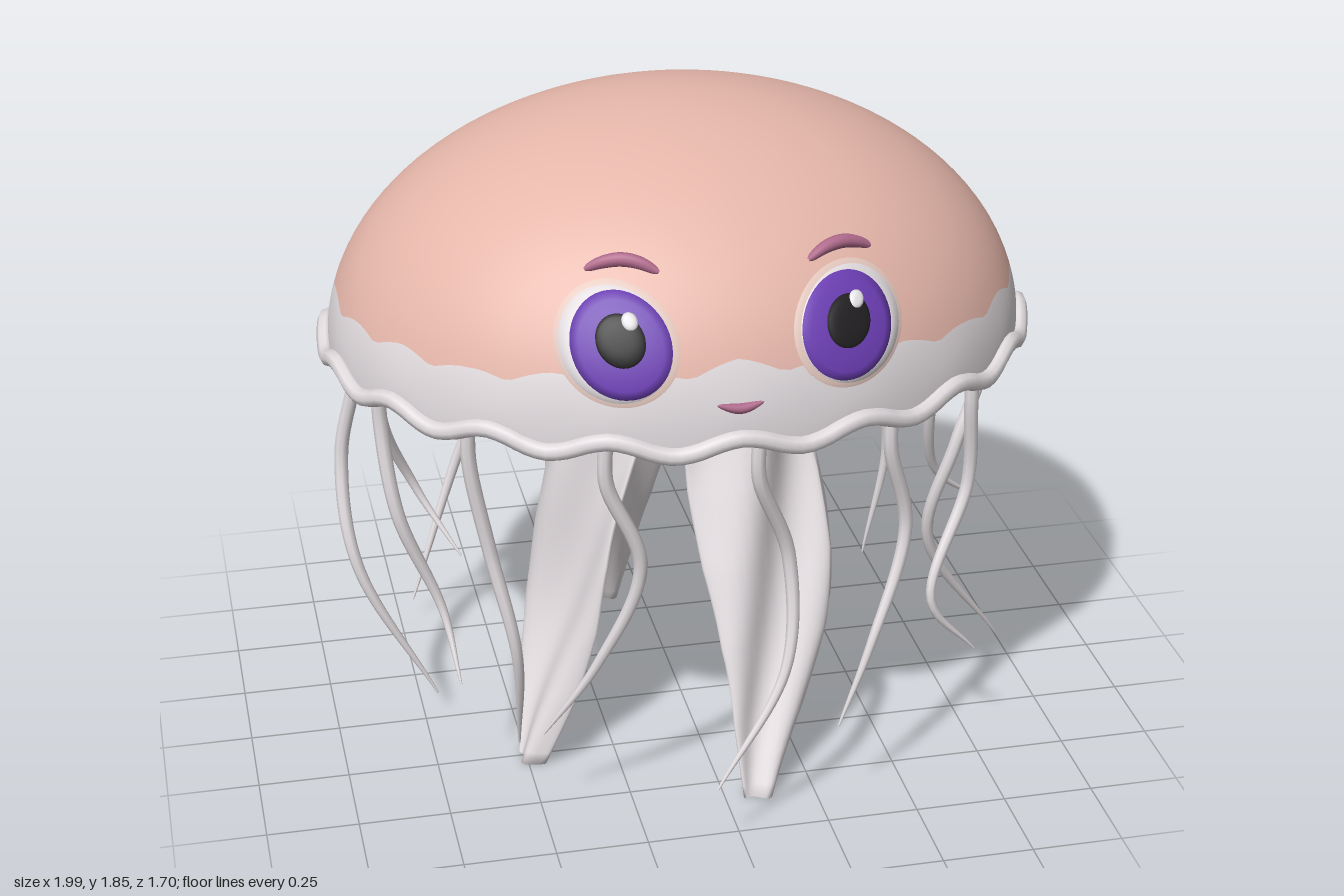
import * as THREE from 'three';

const mat = (name, color) => Object.assign(new THREE.MeshStandardMaterial({ color }), { name });
const V = (x, y, z) => new THREE.Vector3(x, y, z);
const CX = -0.015, CZ = -0.015, RX = 0.95, RZ = 0.81, BASE = 1.19, H = 0.66;
const SCALLOPS = 18;

// Closed-ring surface: f(angle, row) -> point, rows run downwards
function rings(cols, rows, f) {
  const pos = [], idx = [];
  for (let j = 0; j <= rows; j++)
    for (let i = 0; i < cols; i++) {
      const p = f((i / cols) * Math.PI * 2, j);
      pos.push(p.x, p.y, p.z);
    }
  for (let j = 0; j < rows; j++)
    for (let i = 0; i < cols; i++) {
      const a = j * cols + i, b = j * cols + ((i + 1) % cols);
      idx.push(a, a + cols, b, b, a + cols, b + cols);
    }
  const g = new THREE.BufferGeometry();
  g.setAttribute('position', new THREE.Float32BufferAttribute(pos, 3));
  g.setIndex(idx);
  g.computeVertexNormals();
  return g;
}

// Tube whose radius follows radiusAt(t)
function taperedTube(points, segs, sides, radiusAt) {
  const curve = new THREE.CatmullRomCurve3(points);
  const g = new THREE.TubeGeometry(curve, segs, 1, sides);
  const p = g.attributes.position, v = V(0, 0, 0);
  for (let j = 0; j <= segs; j++) {
    const c = curve.getPointAt(j / segs);
    for (let i = 0; i <= sides; i++) {
      const k = j * (sides + 1) + i;
      v.fromBufferAttribute(p, k).sub(c).multiplyScalar(radiusAt(j / segs)).add(c);
      p.setXYZ(k, v.x, v.y, v.z);
    }
  }
  return g;
}

// Oval plate that follows the front of the bell, raised by lift, with a closed edge
function bellPlate(x, y, rx, ry, lift) {
  return rings(48, 7, (a, j) => {
    const r = Math.min(1, j / 6);
    const px = (x - CX + rx * r * Math.cos(a)) / RX, py = (y - BASE + ry * r * Math.sin(a)) / H;
    const pz = Math.sqrt(1 - px * px - py * py);
    const k = j === 7 ? 0.995 : 1 + lift * (1 - 0.25 * r ** 4);
    return V(CX + RX * px * k, BASE + H * py * k, CZ + RZ * pz * k);
  });
}

// Linear lookup in evenly spaced values, t from 0 to 1
function sample(values, t) {
  const s = Math.min(t, 0.9999) * (values.length - 1), i = Math.floor(s);
  return THREE.MathUtils.lerp(values[i], values[i + 1], s - i);
}

const around = (a, r, y) => V(CX + RX * r * Math.sin(a), y, CZ + RZ * r * Math.cos(a));
const wave = a => 0.02 * Math.cos(SCALLOPS * a);

export function createModel() {
  const pink = mat('bellPink', 0xe5b6aa);
  const pale = mat('paleGrey', 0xe1dbde);
  const halo = mat('eyeHalo', 0xe4c8be);
  const purple = mat('irisPurple', 0x6b3db2);
  const black = mat('pupilBlack', 0x201e20);
  const white = mat('highlightWhite', 0xf4f2f4);
  const mauve = mat('browMauve', 0xb06a8c);
  pale.side = THREE.DoubleSide;

  const model = new THREE.Group();
  model.name = 'jellyfish';
  const add = (name, geo, material, parent = model) => {
    const m = new THREE.Mesh(geo, material);
    m.name = name;
    parent.add(m);
  };

  // Bell: pink crown and pale band; border heights run from front to back
  const COLS = 216, CROWN = 24, BAND = 10;
  const borders = [1.39, 1.355, 1.355, 1.335, 1.34, 1.33, 1.33, 1.35, 1.385, 1.405, 1.385, 1.34, 1.32];
  const bell = rings(COLS, CROWN + BAND, (a, j) => {
    const fromFront = (a > Math.PI ? 2 * Math.PI - a : a) / Math.PI;
    const border = sample(borders, fromFront) + 0.025 * Math.abs(Math.cos(12 * a)) - 0.008;
    const edge = Math.acos((border - BASE) / H);
    const t = Math.max(0, (j - CROWN) / BAND);
    const phi = j <= CROWN ? (edge * j) / CROWN : edge + (Math.PI / 2 - edge) * t;
    return around(a, Math.sin(phi), BASE + H * Math.cos(phi) + wave(a) * t * t);
  });
  bell.addGroup(0, COLS * CROWN * 6, 0);
  bell.addGroup(COLS * CROWN * 6, COLS * BAND * 6, 1);
  add('bell', bell, [pink, pale]);

  // Underside sagging slightly below the rim, pleated towards the middle
  add('underside', rings(COLS, 20, (a, j) => {
    const t = j / 20, r = 1 - t;
    const sag = 0.075 * Math.sin(Math.min(1, t * 1.5) * Math.PI / 2);
    const pleat = 0.016 * Math.exp(-(((r - 0.25) / 0.1) ** 2)) * Math.cos(36 * a);
    return around(a, r, BASE - 0.01 - sag + wave(a) * r + pleat);
  }), pale);

  // Scalloped rim roll
  const rimPoints = [];
  for (let i = 0; i < SCALLOPS * 6; i++) {
    const a = (i / (SCALLOPS * 6)) * Math.PI * 2;
    rimPoints.push(around(a, 1.008, BASE + wave(a)));
  }
  add('rim', new THREE.TubeGeometry(new THREE.CatmullRomCurve3(rimPoints, true), 216, 0.024, 8, true), pale);

  // Four broad arms with slanting folds, each along points from top to tip
  const widths = [0.165, 0.185, 0.195, 0.19, 0.165, 0.115, 0.05];
  [
    ['frontArm', V(0.11, 1.2, 0.16), V(0.155, 0.8, 0.26), V(0.17, 0.4, 0.4), V(0.1, 0, 0.58)],
    ['leftArm', V(0.2, 1.2, -0.08), V(0.3, 0.8, -0.08), V(0.355, 0.4, -0.14), V(0.47, 0, -0.3)],
    ['backArm', V(-0.13, 1.2, -0.19), V(-0.14, 0.8, -0.29), V(-0.14, 0.4, -0.44), V(-0.12, 0, -0.6)],
    ['rightArm', V(-0.2, 1.2, 0.06), V(-0.3, 0.8, 0.09), V(-0.36, 0.4, 0.15), V(-0.49, 0, 0.27)],
  ].forEach(([name, top, upper, lower, tip]) => {
    const path = new THREE.CatmullRomCurve3([top, upper, lower, tip]);
    const out = V(lower.x + tip.x, 0, lower.z + tip.z).normalize();
    const side = V(out.z, 0, -out.x);
    add(name, rings(36, 37, (a, j) => {
      const t = Math.min(1, j / 36), c = path.getPoint(t);
      if (j === 37) return c;
      const u = Math.sin(a), fold = 0.045 * (1 - 0.7 * t) * Math.sin(4 * u + 7 * t);
      return c.addScaledVector(side, sample(widths, t) * u)
        .addScaledVector(out, Math.cos(a) * (0.035 - 0.012 * t) + fold);
    }), pale);
  });

  // Fourteen thin tentacles: [x, z] at y 0.8, [x, z] at y 0.5, then the tip
  [
    [0.14, 0.69, 0.12, 0.76, -0.08, 0.2, 0.84],
    [0.48, 0.61, 0.37, 0.69, 0.28, 0.28, 0.72],
    [0.72, 0.39, 0.6, 0.48, 0.74, 0.31, 0.45],
    [0.76, 0.15, 0.7, 0.11, 0.97, 0.06, -0.03],
    [0.79, -0.19, 0.84, -0.29, 0.99, 0.35, -0.37],
    [0.66, -0.47, 0.76, -0.53, 0.7, 0.09, -0.55],
    [0.3, -0.76, 0.37, -0.83, 0.28, 0.2, -0.7],
    [-0.1, -0.7, 0.02, -0.78, -0.08, 0.3, -0.66],
    [-0.44, -0.62, -0.55, -0.66, -0.71, 0.07, -0.58],
    [-0.8, -0.42, -0.7, -0.5, -0.58, 0.3, -0.4],
    [-0.94, -0.14, -0.92, -0.05, -0.71, 0.07, -0.02],
    [-0.83, 0.25, -0.72, 0.26, -0.69, 0.32, 0.36],
    [-0.62, 0.5, -0.56, 0.53, -0.54, 0.14, 0.4],
    [-0.25, 0.67, -0.36, 0.63, -0.5, 0.27, 0.58],
  ].forEach(([x1, z1, x2, z2, tx, ty, tz], k) => {
    const a = THREE.MathUtils.degToRad(4 + (k * 360) / 14);
    const pts = [around(a, 0.93, 1.18), around(a, 0.93, 1.06), V(x1, 0.8, z1), V(x2, 0.5, z2), V(tx, ty, tz)];
    add('tentacle', taperedTube(pts, 36, 8, t => 0.017 * (1 - t ** 3) + 0.003), pale);
  });

  // Face: eyes hug the bell, brows float just above
  for (const s of [-1, 1]) {
    const x = -0.011 + s * 0.286, y = 1.44;
    const eye = new THREE.Group();
    eye.name = s > 0 ? 'leftEye' : 'rightEye';
    model.add(eye);
    add('eyeHalo', bellPlate(x + s * 0.012, y, 0.152, 0.142, 0.005), halo, eye);
    add('eyeWhite', bellPlate(x + s * 0.014, y, 0.136, 0.13, 0.014), pale, eye);
    add('iris', bellPlate(x, y, 0.121, 0.12, 0.026), purple, eye);
    add('pupil', bellPlate(x, y + 0.013, 0.063, 0.062, 0.032), black, eye);
    add('highlight', bellPlate(x + 0.026, y + 0.056, 0.02, 0.02, 0.037), white, eye);

    const brow = [[0.19, 1.635, 0.695], [0.235, 1.658, 0.68], [0.28, 1.665, 0.665], [0.325, 1.655, 0.65], [0.365, 1.635, 0.635]]
      .map(([bx, by, z]) => V(CX + s * bx, by, z));
    add(s > 0 ? 'leftBrow' : 'rightBrow',
      taperedTube(brow, 20, 10, t => 0.005 + 0.013 * Math.sin(Math.PI * t) ** 0.5), mauve);
  }

  // Small smiling mouth
  const mouth = [[-0.06, 1.297, 0.78], [0, 1.287, 0.787], [0.06, 1.297, 0.78]].map(([x, y, z]) => V(CX + x, y, z));
  add('mouth', taperedTube(mouth, 16, 10, t => 0.003 + 0.011 * Math.sin(Math.PI * t) ** 0.8), mauve);

  return model;
}
